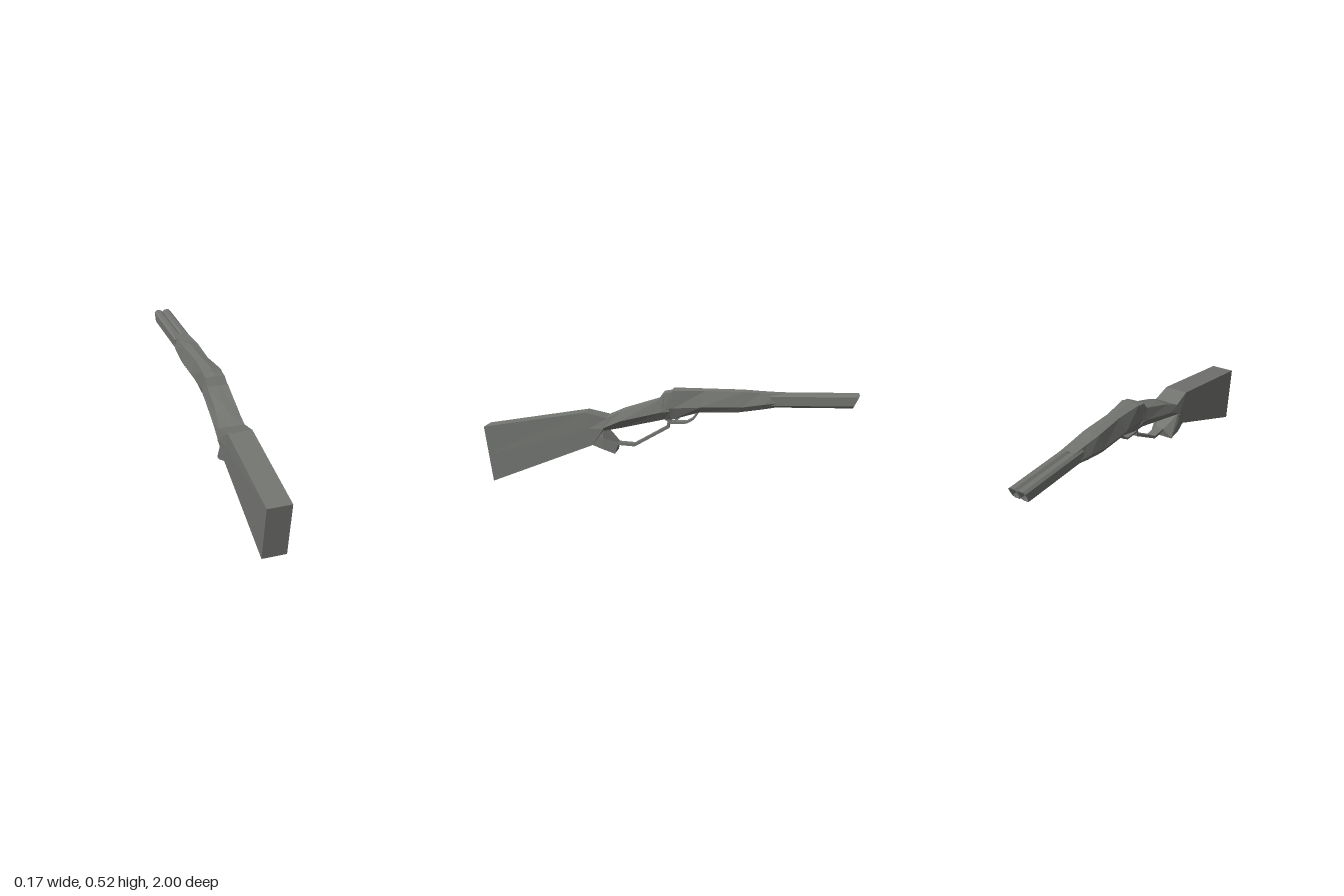
import * as THREE from 'three';

const material = new THREE.MeshStandardMaterial({ color: 0x737571, flatShading: true });

// Seven-sided section: top and bottom edges sit at their own z, so sections can lean.
function ring({ top, bottom, x, topWidth = 1, bottomWidth = 1, mid = 0.5, ridge = 0 }) {
  const cx = (x[0] + x[1]) / 2, w = (x[1] - x[0]) / 2;
  const outline = [
    [bottomWidth, 0], [1, mid], [topWidth, 1], [0, 1],
    [-topWidth, 1], [-1, mid], [-bottomWidth, 0],
  ];
  return outline.map(([u, h], i) => new THREE.Vector3(
    cx + u * w,
    THREE.MathUtils.lerp(bottom[1], top[1], h) + (i === 3 ? ridge : 0),
    THREE.MathUtils.lerp(bottom[0], top[0], h),
  ));
}

// Skin a row of sections ordered from the butt (+z) to the muzzle (-z), with end caps.
function loft(name, sections) {
  const rings = sections.map(ring), n = rings[0].length, points = [];
  for (let i = 0; i < rings.length - 1; i++) {
    for (let j = 0; j < n; j++) {
      const k = (j + 1) % n, a = rings[i], b = rings[i + 1];
      points.push(a[j], b[j], b[k], a[j], b[k], a[k]);
    }
  }
  const first = rings[0], last = rings[rings.length - 1];
  for (let j = 1; j < n - 1; j++) {
    points.push(first[0], first[j], first[j + 1], last[0], last[j + 1], last[j]);
  }
  const geometry = new THREE.BufferGeometry().setFromPoints(points);
  geometry.computeVertexNormals();
  const mesh = new THREE.Mesh(geometry, material);
  mesh.name = name;
  return mesh;
}

// Flat strip bent along [z, y] points.
function strip(name, path, x, width, thickness) {
  const group = new THREE.Group();
  group.name = name;
  for (let i = 0; i < path.length - 1; i++) {
    const [z0, y0] = path[i], [z1, y1] = path[i + 1];
    const length = Math.hypot(z1 - z0, y1 - y0);
    const bar = new THREE.Mesh(new THREE.BoxGeometry(width, thickness, length + thickness * 0.6), material);
    bar.position.set(x, (y0 + y1) / 2, (z0 + z1) / 2);
    bar.rotation.x = -Math.atan2(y1 - y0, z1 - z0);
    bar.name = name + 'Bar';
    group.add(bar);
  }
  return group;
}

// Hollow eight-sided tube with tall sides and a slanted muzzle.
function barrel(name, x) {
  const outline = (rx, ry) => [
    [1, -0.68], [1, 0.68], [0.5, 1], [-0.5, 1], [-1, 0.68], [-1, -0.68], [-0.5, -1], [0.5, -1],
  ].map(([u, v]) => new THREE.Vector2(u * rx, v * ry));
  const shape = new THREE.Shape(outline(0.025, 0.035));
  shape.holes.push(new THREE.Path(outline(0.019, 0.028)));
  const geometry = new THREE.ExtrudeGeometry(shape, { depth: 0.46, bevelEnabled: false });
  const p = geometry.attributes.position;
  for (let i = 0; i < p.count; i++) {
    const y = p.getY(i), muzzle = p.getZ(i) < 0.01;
    if (muzzle) p.setZ(i, (0.035 - y) * 0.5);
    p.setY(i, y + (muzzle ? 0.47 : 0.467));
  }
  geometry.translate(x, 0, -1);
  geometry.computeVertexNormals();
  const mesh = new THREE.Mesh(geometry, material);
  mesh.name = name;
  return mesh;
}

export function createModel() {
  const model = new THREE.Group();
  model.name = 'leverLongGun';

  // Shoulder stock, narrowing into the wrist
  model.add(loft('stock', [
    { top: [1, 0.3], bottom: [0.955, 0], x: [-0.075, 0.052] },
    { top: [0.44, 0.39], bottom: [0.4, 0.215], x: [-0.07, 0.066], topWidth: 0.95 },
    { top: [0.32, 0.362], bottom: [0.345, 0.29], x: [-0.085, 0.075], topWidth: 0.85, bottomWidth: 0.95, mid: 0.2 },
  ]));

  // Pointed spur below the wrist, narrow along its upper front edge
  model.add(loft('spur', [
    { top: [0.42, 0.31], bottom: [0.4, 0.215], x: [-0.07, 0.066] },
    { top: [0.345, 0.298], bottom: [0.34, 0.193], x: [-0.076, 0.07], topWidth: 0.9, mid: 0.6 },
    { top: [0.265, 0.224], bottom: [0.28, 0.17], x: [-0.066, 0.066], topWidth: 0.35, mid: 0.05 },
  ]));

  // Faceted wrist rising to the receiver
  model.add(loft('grip', [
    { top: [0.33, 0.362], bottom: [0.35, 0.29], x: [-0.085, 0.075], topWidth: 0.85, bottomWidth: 0.7, mid: 0.25 },
    { top: [0.24, 0.402], bottom: [0.25, 0.308], x: [-0.078, 0.078], topWidth: 0.75, bottomWidth: 0.6, mid: 0.45, ridge: 0.005 },
    { top: [0.05, 0.462], bottom: [0.02, 0.36], x: [-0.06, 0.082], topWidth: 0.8, bottomWidth: 0.65, mid: 0.4 },
    { top: [0, 0.47], bottom: [-0.02, 0.36], x: [-0.055, 0.07], topWidth: 0.8, bottomWidth: 0.65, mid: 0.4 },
  ]));

  // Receiver with a small step on top, running into the fore-end
  model.add(loft('receiver', [
    { top: [0.05, 0.46], bottom: [0.02, 0.365], x: [-0.06, 0.08], topWidth: 0.8, bottomWidth: 0.65, mid: 0.4 },
    { top: [0.02, 0.5], bottom: [0.005, 0.362], x: [-0.057, 0.072], topWidth: 0.8, bottomWidth: 0.65, mid: 0.4, ridge: 0.004 },
    { top: [-0.02, 0.506], bottom: [-0.015, 0.36], x: [-0.056, 0.068], topWidth: 0.84, bottomWidth: 0.65, mid: 0.42, ridge: 0.006 },
    { top: [-0.032, 0.515], bottom: [-0.03, 0.36], x: [-0.056, 0.066], topWidth: 0.86, bottomWidth: 0.65, mid: 0.4, ridge: 0.01 },
    { top: [-0.2, 0.514], bottom: [-0.17, 0.4], x: [-0.06, 0.062], topWidth: 0.6, bottomWidth: 0.7, mid: 0.25, ridge: 0.008 },
    { top: [-0.4, 0.512], bottom: [-0.38, 0.405], x: [-0.061, 0.06], topWidth: 0.75, bottomWidth: 0.75, mid: 0.25, ridge: 0.006 },
    { top: [-0.49, 0.507], bottom: [-0.5, 0.422], x: [-0.058, 0.06], topWidth: 0.7, bottomWidth: 0.75, mid: 0.3 },
    { top: [-0.6, 0.502], bottom: [-0.56, 0.431], x: [-0.05, 0.05], topWidth: 0.78, bottomWidth: 0.75, mid: 0.35 },
  ]));

  // Twin barrels, with a rib that keeps the groove between them shallow
  for (const side of [-1, 1]) model.add(barrel(side > 0 ? 'leftBarrel' : 'rightBarrel', side * 0.0245));
  model.add(loft('barrelRib', [
    { top: [-0.55, 0.492], bottom: [-0.55, 0.442], x: [-0.005, 0.005] },
    { top: [-0.985, 0.495], bottom: [-0.965, 0.445], x: [-0.005, 0.005] },
  ]));

  // Lever loop, trigger guard and trigger
  model.add(strip('lever', [[0.3, 0.225], [0.265, 0.218], [0.18, 0.212], [0.0, 0.313], [-0.01, 0.365]], 0.005, 0.05, 0.014));
  model.add(strip('triggerGuard', [[0.015, 0.36], [-0.02, 0.338], [-0.1, 0.34], [-0.135, 0.36], [-0.165, 0.402]], 0.005, 0.05, 0.01));
  model.add(strip('trigger', [[-0.06, 0.385], [-0.055, 0.36], [-0.035, 0.345]], 0.005, 0.016, 0.01));
  return model;
}
